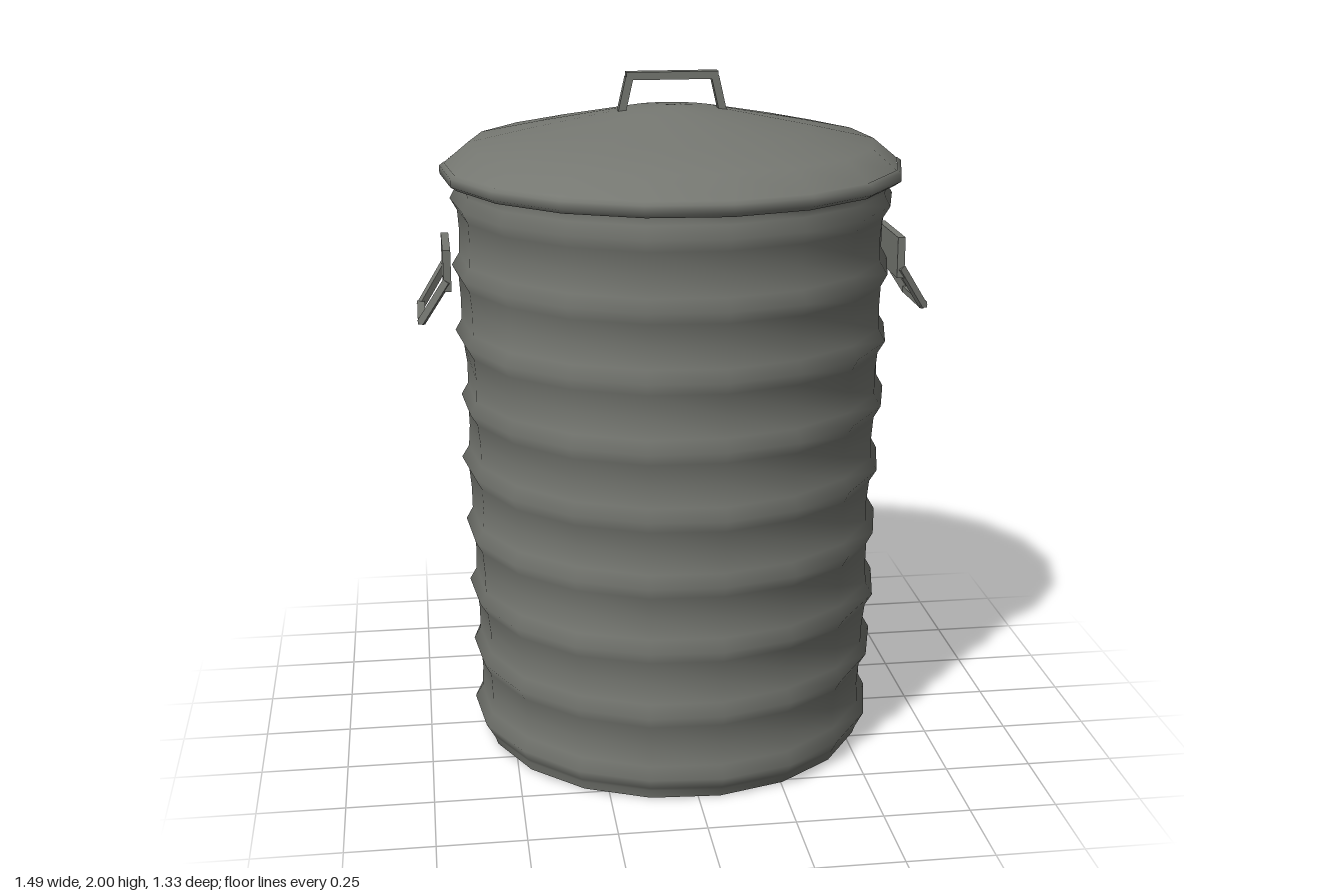
import * as THREE from 'three';

const SIDES = 18, PHASE = 0.11;

const lathe = (points, phase = PHASE) => new THREE.LatheGeometry(
  points.map(([r, y]) => new THREE.Vector2(r, y)), SIDES, phase);

function mesh(name, geometry, material) {
  const m = new THREE.Mesh(geometry, material);
  m.name = name;
  return m;
}

// Flat bar of rectangular section between two points
function bar(name, a, b, w, d, material) {
  const from = new THREE.Vector3(...a), dir = new THREE.Vector3(...b).sub(from);
  const m = mesh(name, new THREE.BoxGeometry(w, dir.length(), d), material);
  m.position.copy(from).addScaledVector(dir, 0.5);
  m.quaternion.setFromUnitVectors(new THREE.Vector3(0, 1, 0), dir.normalize());
  return m;
}

// Ribbed, slightly dented wall
function bodyGeometry() {
  const pts = [[0.575, 0.005], [0.583, 0.03]];
  for (let i = 0; i < 9; i++) {
    const y = 0.075 + i * 0.196, r = 0.587 + y * 0.022;
    pts.push([r, y - 0.035], [r + 0.02, y], [r, y + 0.035]);
    if (i < 8) pts.push([r - 0.001, y + 0.098]);
  }
  pts.push([0.63, 1.71]);
  const geo = lathe(pts);
  const p = geo.attributes.position;
  for (let i = 0; i < p.count; i++) {
    const x = p.getX(i), y = p.getY(i), z = p.getZ(i);
    if (y < 0.01 || y > 1.69) continue;
    const a = Math.atan2(x, z);
    const s = 1 + 0.005 * Math.sin(3 * a + y * 9) + 0.004 * Math.sin(7 * a - y * 14);
    p.setXYZ(i, x * s, y, z * s);
  }
  geo.computeVertexNormals();
  // Match the normals along the seam
  const n = geo.attributes.normal, rows = pts.length;
  for (let j = 0; j < rows; j++) {
    const k = SIDES * rows + j;
    const v = new THREE.Vector3().fromBufferAttribute(n, j)
      .add(new THREE.Vector3().fromBufferAttribute(n, k)).normalize();
    n.setXYZ(j, v.x, v.y, v.z);
    n.setXYZ(k, v.x, v.y, v.z);
  }
  return geo;
}

// Wall plate with a hanging trapezoid loop
function sideHandle(side, material) {
  const g = new THREE.Group();
  g.name = side > 0 ? 'leftHandle' : 'rightHandle';
  const plate = mesh('handlePlate', new THREE.BoxGeometry(0.022, 0.12, 0.25), material);
  plate.position.set(side * 0.657, 1.465, 0);
  g.add(plate);
  for (const s of [-1, 1]) {
    g.add(bar('handleArm', [side * 0.658, 1.435, s * 0.121], [side * 0.735, 1.312, s * 0.102], 0.02, 0.018, material));
  }
  g.add(bar('handleGrip', [side * 0.733, 1.318, -0.108], [side * 0.733, 1.318, 0.108], 0.022, 0.018, material));
  return g;
}

export function createModel() {
  const metal = new THREE.MeshStandardMaterial({ color: 0x757771 });
  metal.name = 'dull grey metal';
  const model = new THREE.Group();
  model.name = 'trashCan';

  model.add(mesh('body', bodyGeometry(), metal));

  // Closed base
  const base = mesh('base', new THREE.CircleGeometry(0.575, SIDES, Math.PI / 2 + PHASE), metal);
  base.rotation.x = Math.PI / 2;
  base.position.y = 0.004;
  model.add(base);

  // Lid: domed top, rolled rim and underside
  model.add(mesh('lidTop', lathe([[0.655, 1.745], [0.585, 1.803], [0.4, 1.843], [0.15, 1.892], [0, 1.905]]), metal));
  model.add(mesh('lidRim', lathe([[0.65, 1.703], [0.668, 1.715], [0.668, 1.738], [0.655, 1.747]]), metal));
  model.add(mesh('lidUnderside', lathe([[0, 1.703], [0.65, 1.703]]), metal));

  // Lid handle
  const handle = new THREE.Group();
  handle.name = 'lidHandle';
  for (const s of [-1, 1]) {
    handle.add(bar('lidHandleLeg', [s * 0.146, 1.885, 0], [s * 0.123, 1.985, 0], 0.022, 0.036, metal));
  }
  const grip = mesh('lidHandleGrip', new THREE.BoxGeometry(0.264, 0.022, 0.036), metal);
  grip.position.y = 1.989;
  handle.add(grip);
  model.add(handle);

  model.add(sideHandle(1, metal), sideHandle(-1, metal));
  return model;
}
